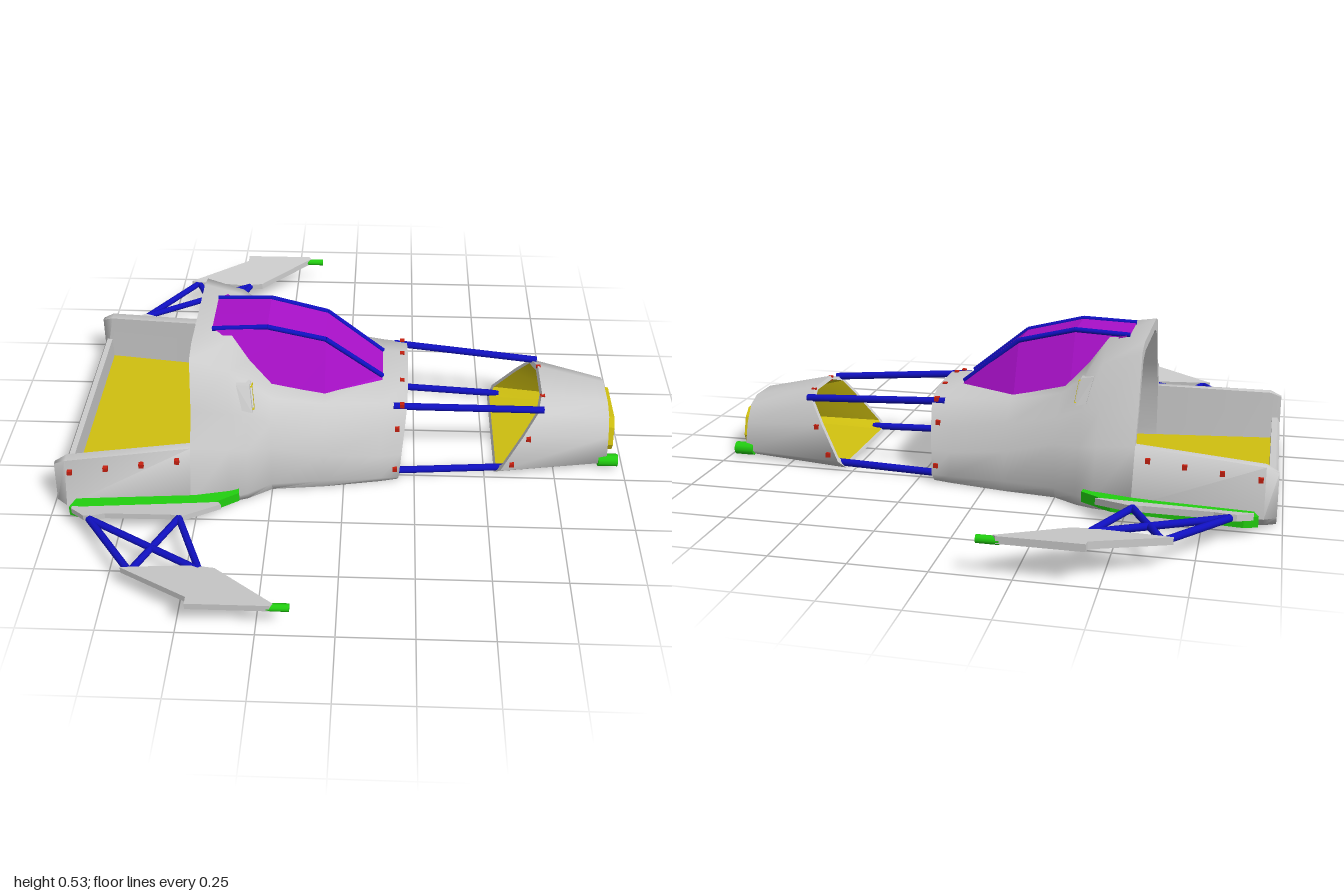
import * as THREE from 'three';
import { toCreasedNormals } from 'three/addons/utils/BufferGeometryUtils.js';

const mat = (color) => new THREE.MeshStandardMaterial({ color, side: THREE.DoubleSide });
const grey = mat(0xcccccc), yellow = mat(0xd0c010), blue = mat(0x1010c0);
const green = mat(0x22d010), violet = mat(0xa810c8), red = mat(0xc82010);

function add(parent, name, geometry, material) {
  const mesh = new THREE.Mesh(geometry, material);
  mesh.name = name;
  parent.add(mesh);
  return mesh;
}

// Closed cross-section: half profile [z, y] mirrored; x may lean with height
function ring(x, half, lean = 0) {
  const right = half.map(([z, y]) => [x + lean * y, y, z]);
  const left = right.filter((p) => p[2] > 0).reverse().map(([a, y, z]) => [a, y, -z]);
  return [...right, ...left];
}

// Skin over a row of cross-sections, optionally closed at either end
function loft(rings, { start = false, end = false, crease = 0.6 } = {}) {
  const n = rings[0].length, index = [];
  for (let r = 0; r < rings.length - 1; r++) {
    for (let i = 0; i < n; i++) {
      const a = r * n + i, b = r * n + (i + 1) % n;
      index.push(a, a + n, b + n, a, b + n, b);
    }
  }
  const cap = (r, flip) => {
    const outline = rings[r].map(([, y, z]) => new THREE.Vector2(z, y));
    for (const [a, b, c] of THREE.ShapeUtils.triangulateShape(outline, [])) {
      index.push(r * n + a, r * n + (flip ? c : b), r * n + (flip ? b : c));
    }
  };
  if (start) cap(0, false);
  if (end) cap(rings.length - 1, true);
  const g = new THREE.BufferGeometry();
  g.setAttribute('position', new THREE.Float32BufferAttribute(rings.flat(2), 3));
  g.setIndex(index);
  return toCreasedNormals(g, crease);
}

const shrink = (half, s, cy) => half.map(([z, y]) => [z * s, cy + (y - cy) * s]);

// Plate from a plan outline [x, z], its height following z
function slab(points, thickness, height) {
  const shape = new THREE.Shape(points.map(([x, z]) => new THREE.Vector2(x, z)));
  const g = new THREE.ExtrudeGeometry(shape, { depth: thickness, bevelEnabled: false });
  g.rotateX(Math.PI / 2);
  const p = g.attributes.position;
  for (let i = 0; i < p.count; i++) p.setY(i, p.getY(i) + height(p.getZ(i)));
  g.computeVertexNormals();
  return g;
}

function bar(parent, name, from, to, radius, material = blue) {
  const a = new THREE.Vector3(...from), b = new THREE.Vector3(...to);
  const mesh = add(parent, name, new THREE.CylinderGeometry(radius, radius, a.distanceTo(b), 10), material);
  mesh.position.copy(a).add(b).multiplyScalar(0.5);
  mesh.quaternion.setFromUnitVectors(new THREE.Vector3(0, 1, 0), b.sub(a).normalize());
}

function bolt(parent, x, y, z) {
  add(parent, 'bolt', new THREE.BoxGeometry(0.016, 0.016, 0.016), red).position.set(x, y, z);
}

export function createModel() {
  const model = new THREE.Group();

  // Cargo bed: U-shaped walls, floor and low tailgate
  add(model, 'cargoBed', loft([
    ring(-0.98, [[0.41, 0.01], [0.46, 0.05], [0.435, 0.19], [0.42, 0.19], [0.40, 0.022]]),
    ring(-0.94, [[0.43, 0.01], [0.495, 0.055], [0.44, 0.208], [0.405, 0.208], [0.40, 0.022]]),
    ring(-0.52, [[0.43, 0.01], [0.465, 0.05], [0.38, 0.225], [0.35, 0.225], [0.345, 0.022]]),
  ], { start: true, crease: 1.2 }), grey);
  add(model, 'bedFloor', slab([[-0.96, -0.4], [-0.52, -0.345], [-0.36, -0.32], [-0.36, 0.32], [-0.52, 0.345], [-0.96, 0.4]],
    0.008, () => 0.032), yellow);
  add(model, 'tailgate', loft([
    ring(-0.98, [[0.41, 0.012], [0.42, 0.09]]),
    ring(-0.97, [[0.41, 0.012], [0.42, 0.11]]),
    ring(-0.95, [[0.41, 0.012], [0.42, 0.11]]),
  ], { start: true, end: true }), grey);

  // Cabin hull
  const rear = [[0.43, 0.01], [0.465, 0.05], [0.38, 0.225], [0.31, 0.33], [0.25, 0.505], [0.18, 0.525]];
  const mouth = [[0.27, 0.01], [0.295, 0.04], [0.265, 0.12], [0.235, 0.20], [0.19, 0.28], [0.09, 0.305]];
  add(model, 'cabinHull', loft([
    ring(-0.52, rear),
    ring(-0.39, [[0.41, 0.01], [0.437, 0.05], [0.37, 0.21], [0.31, 0.32], [0.25, 0.46], [0.14, 0.515]]),
    ring(-0.33, [[0.39, 0.01], [0.41, 0.05], [0.355, 0.20], [0.305, 0.31], [0.25, 0.41], [0.155, 0.435]]),
    ring(-0.25, [[0.34, 0.01], [0.358, 0.05], [0.34, 0.20], [0.30, 0.28], [0.25, 0.35], [0.18, 0.352]]),
    ring(-0.07, [[0.32, 0.01], [0.335, 0.05], [0.315, 0.15], [0.28, 0.24], [0.22, 0.305], [0.165, 0.31]]),
    ring(0.13, [[0.285, 0.01], [0.303, 0.04], [0.28, 0.12], [0.245, 0.20], [0.19, 0.29], [0.09, 0.315]]),
    ring(0.19, mouth, 0.1),
  ], { crease: 1.2 }), grey);

  // Rear recess of the cabin, opening onto the bed
  const frame = [[0.345, 0.022], [0.347, 0.06], [0.345, 0.22], [0.28, 0.33], [0.21, 0.47], [0.15, 0.49]];
  const deep = [[0.33, 0.022], [0.33, 0.06], [0.28, 0.20], [0.24, 0.31], [0.20, 0.37], [0.13, 0.44]];
  add(model, 'rearFrame', loft([ring(-0.52, rear), ring(-0.52, frame), ring(-0.36, deep)]), grey);
  add(model, 'rearBulkhead', loft([ring(-0.365, deep), ring(-0.36, deep)], { start: true }), yellow);

  // Front opening with lined interior
  const mouthIn = shrink(mouth, 0.91, 0.15);
  add(model, 'frontFrame', loft([ring(0.19, mouth, 0.1), ring(0.19, mouthIn, 0.1)]), grey);
  add(model, 'frontInterior', loft([ring(0.05, mouthIn), ring(0.19, mouthIn, 0.1)], { start: true }), yellow);

  // Canopy: sill and ridge points, its ribs following the ridges
  const sill = [[-0.43, 0.525, 0.12], [-0.27, 0.36, 0.18], [-0.07, 0.308, 0.17], [0.13, 0.315, 0.09]];
  const ridge = [[-0.46, 0.525, 0.095], [-0.27, 0.533, 0.09], [-0.07, 0.483, 0.085], [0.13, 0.322, 0.075]];
  const flip = ([x, y, z]) => [x, y, -z];
  add(model, 'canopy', loft(sill.map((s, i) => [s, ridge[i], flip(ridge[i]), flip(s)]),
    { start: true, end: true, crease: 0.05 }), violet);

  // Nose pod with lined rear opening
  const noseBack = [[0, 0.01], [0.22, 0.01], [0.248, 0.04], [0.20, 0.16], [0.16, 0.235], [0.08, 0.262]];
  const noseFront = [[0, 0.05], [0.16, 0.015], [0.185, 0.035], [0.155, 0.13], [0.115, 0.19], [0.06, 0.212]];
  const noseIn = shrink(noseBack, 0.91, 0.135);
  add(model, 'nose', loft([ring(0.53, noseBack, 0.64), ring(0.94, noseFront)], { end: true, crease: 1.2 }), grey);
  add(model, 'noseRim', loft([ring(0.53, noseBack, 0.64), ring(0.53, noseIn, 0.64)]), grey);
  add(model, 'noseInterior', loft([ring(0.53, noseIn, 0.64), ring(0.80, shrink(noseBack, 0.7, 0.12))], { end: true }), yellow);

  // Chevron intake: frame with an inner bar
  const chevron = [[0, 0.08], [0.125, 0.048], [0.135, 0.075], [0.115, 0.14], [0.085, 0.168]];
  const outline = (half) => ring(0, half).map(([, y, z]) => new THREE.Vector2(z, y));
  const intake = new THREE.Shape(outline(chevron));
  intake.holes.push(new THREE.Path(outline(shrink(chevron, 0.72, 0.115))));
  const intakeGeo = new THREE.ExtrudeGeometry(intake, { depth: 0.035, bevelEnabled: false });
  add(model, 'intakeFrame', intakeGeo.rotateY(Math.PI / 2), yellow).position.x = 0.93;
  const core = shrink(chevron, 0.55, 0.115);
  add(model, 'intakeCore', loft([ring(0.93, core), ring(0.96, core)], { end: true }), yellow);

  // One side, mirrored for the other
  const side = new THREE.Group();
  side.name = 'leftSide';
  for (let i = 0; i < 3; i++) bar(side, 'canopyRib', ridge[i], ridge[i + 1], 0.009);
  bar(side, 'upperNoseRod', [0.17, 0.275, 0.187], [0.70, 0.241, 0.148], 0.013);
  bar(side, 'lowerNoseRod', [0.17, 0.028, 0.245], [0.58, 0.028, 0.212], 0.013);
  bar(side, 'noseGun', [0.91, 0.037, 0.172], [0.98, 0.037, 0.172], 0.023, green);

  // Air scoop on the cabin flank
  add(side, 'scoop', loft([
    [[-0.365, 0.42, 0.23], [-0.32, 0.41, 0.23], [-0.31, 0.325, 0.27], [-0.345, 0.335, 0.27]],
    [[-0.365, 0.42, 0.272], [-0.32, 0.41, 0.264], [-0.31, 0.325, 0.305], [-0.345, 0.335, 0.306]],
  ], { start: true, end: true, crease: 0.1 }), grey);
  add(side, 'scoopMouth', loft([
    [[-0.32, 0.40, 0.23], [-0.312, 0.40, 0.23], [-0.304, 0.333, 0.27], [-0.315, 0.333, 0.27]],
    [[-0.32, 0.40, 0.26], [-0.312, 0.40, 0.26], [-0.304, 0.333, 0.297], [-0.315, 0.333, 0.297]],
  ], { end: true, crease: 0.1 }), yellow);

  // Wing root, braces, wing and its gun
  add(side, 'greenStrip', slab([[-0.90, 0.46], [-0.36, 0.40], [-0.355, 0.435], [-0.46, 0.50], [-0.88, 0.54], [-0.925, 0.525]],
    0.036, () => 0.076), green);
  add(side, 'wingRoot', slab([[-0.91, 0.535], [-0.87, 0.535], [-0.50, 0.495], [-0.42, 0.485], [-0.41, 0.50], [-0.53, 0.58],
    [-0.57, 0.572], [-0.79, 0.575], [-0.84, 0.592], [-0.86, 0.59], [-0.91, 0.548]], 0.022, (z) => 0.078 + (z - 0.48) * 0.22), grey);
  for (const inner of [[-0.84, 0.092, 0.595], [-0.54, 0.092, 0.58]]) {
    for (const outer of [[-0.66, 0.1, 0.835], [-0.44, 0.1, 0.82]]) bar(side, 'wingBrace', inner, outer, 0.012);
  }
  add(side, 'wing', slab([[-0.69, 0.83], [-0.66, 0.825], [-0.46, 0.81], [-0.39, 0.82], [-0.19, 0.985], [-0.20, 0.997], [-0.46, 0.997], [-0.46, 0.965]],
    0.024, (z) => 0.11 + (z - 0.81) * 0.16), grey);
  bar(side, 'wingGun', [-0.21, 0.122, 0.985], [-0.14, 0.122, 0.985], 0.013, green);

  // Bolts along bed rail, front frame and nose rim
  for (let i = 0; i < 4; i++) bolt(side, -0.925 + i * 0.12, 0.17 + i * 0.006, 0.454 - i * 0.016);
  for (const [x, y, z] of [[0.18, 0.07, 0.284], [0.185, 0.21, 0.231], [0.20, 0.282, 0.19], [0.20, 0.304, 0.08],
    [0.595, 0.06, 0.236], [0.65, 0.15, 0.2], [0.70, 0.252, 0.085]]) bolt(side, x, y, z);

  model.add(side);
  const mirrored = side.clone();
  mirrored.name = 'rightSide';
  mirrored.scale.z = -1;
  model.add(mirrored);
  return model;
}
